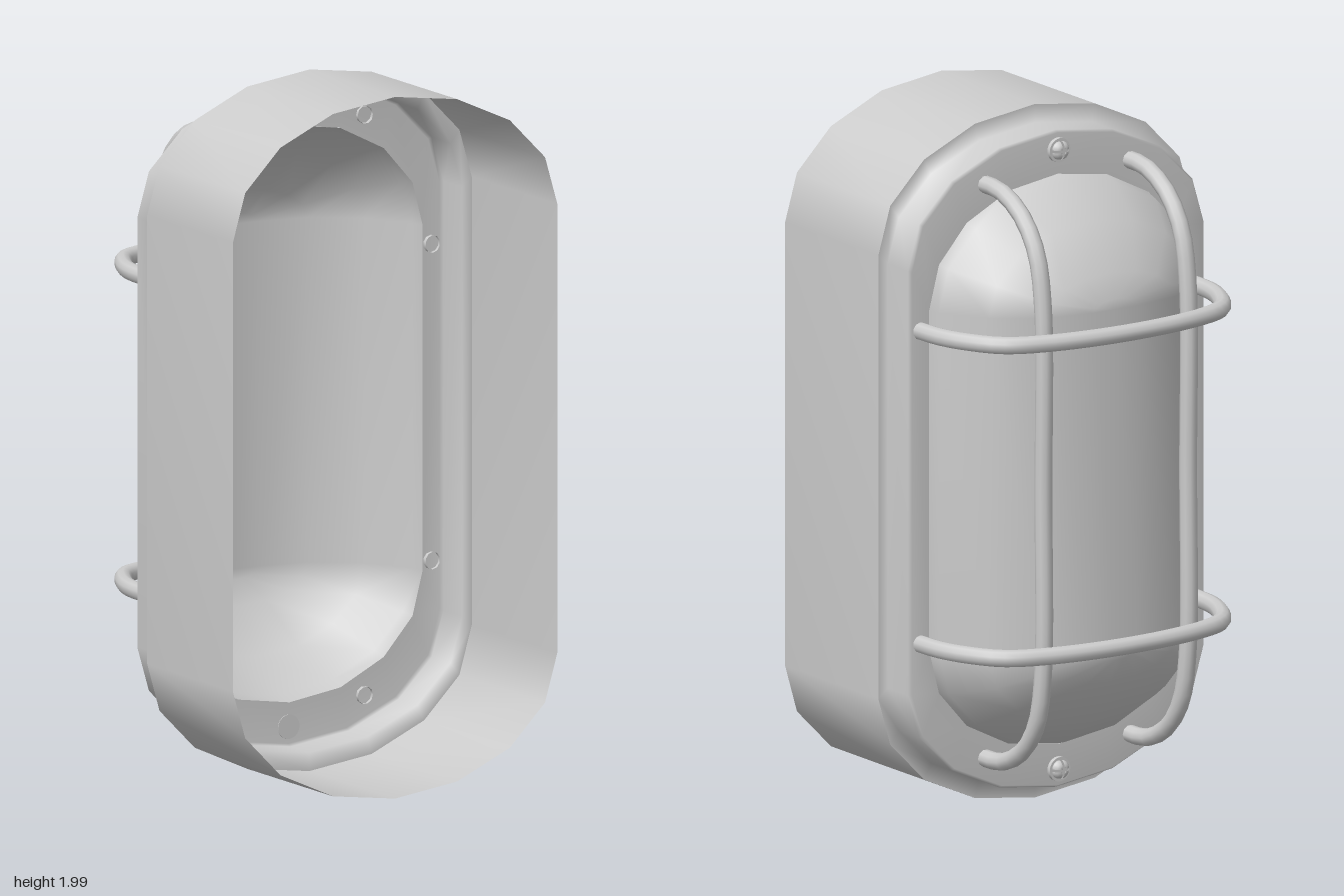
import * as THREE from 'three';

const material = new THREE.MeshStandardMaterial({ color: 0xcccccc, side: THREE.DoubleSide });
const MID = 1.003; // height of the horizontal symmetry plane
const SEG = 8;     // facets in each rounded end

function mesh(name, geometry) {
  const m = new THREE.Mesh(geometry, material);
  m.name = name;
  return m;
}

// Skin between upright oval rings, each [half width, half straight length, end height, z]
function loftOvals(rings) {
  const positions = [], index = [], n = 2 * (SEG + 1);
  for (const [w, straight, end, z] of rings) {
    for (let half = 0; half < 2; half++) {
      const s = half ? -1 : 1;
      for (let k = 0; k <= SEG; k++) {
        const a = (Math.PI * k) / SEG;
        positions.push(s * w * Math.cos(a), MID + s * (straight + end * Math.sin(a)), z);
      }
    }
  }
  for (let i = 0; i < rings.length - 1; i++) {
    for (let j = 0; j < n; j++) {
      const a = i * n + j, b = i * n + ((j + 1) % n), c = a + n, d = b + n;
      index.push(a, c, b, b, c, d);
    }
  }
  const g = new THREE.BufferGeometry();
  g.setAttribute('position', new THREE.Float32BufferAttribute(positions, 3));
  g.setIndex(index);
  g.computeVertexNormals();
  return g;
}

// Round bar through half a path, mirrored to make the other half
function cageBar(name, half, mirror) {
  const points = [...half, ...half.slice(0, -1).reverse().map(mirror)];
  const curve = new THREE.CatmullRomCurve3(points, false, 'centripetal');
  return mesh(name, new THREE.TubeGeometry(curve, 40, 0.025, 10));
}

// Domed screw with a cross slot, its axis along -z
function screw(name) {
  const g = new THREE.Group();
  g.name = name;
  const washer = mesh('screwWasher', new THREE.CylinderGeometry(0.035, 0.035, 0.014, 20));
  washer.position.y = 0.007;
  g.add(washer);
  const profile = [[0.023, 0.012], [0.022, 0.02], [0.016, 0.028], [0.008, 0.031], [0, 0.032], [0, 0.012]]
    .map(([r, y]) => new THREE.Vector2(r, y));
  for (let i = 0; i < 4; i++) {
    const start = (i * Math.PI) / 2, mid = start + Math.PI / 4;
    const quarter = mesh('screwHead', new THREE.LatheGeometry(profile, 5, start, Math.PI / 2));
    quarter.position.set(0.005 * Math.sin(mid), 0, 0.005 * Math.cos(mid));
    g.add(quarter);
  }
  g.rotation.x = -Math.PI / 2;
  return g;
}

export function createModel() {
  const model = new THREE.Group();
  model.name = 'bulkheadLamp';

  // Open oval housing
  model.add(mesh('housing', loftOvals([
    [0.53, 0.637, 0.36, 0.47],
    [0.53, 0.637, 0.36, 0.012],
  ])));

  // Stepped rim: shoulder, side wall and face around the glass
  model.add(mesh('rimShoulder', loftOvals([
    [0.53, 0.637, 0.36, 0.012],
    [0.5, 0.61, 0.335, 0.01],
    [0.5, 0.61, 0.335, -0.09],
    [0.493, 0.606, 0.332, -0.1],
    [0.435, 0.49, 0.33, -0.1],
  ])));

  // Domed glass
  model.add(mesh('glassDome', loftOvals([
    [0.435, 0.49, 0.33, -0.095],
    [0.43, 0.49, 0.315, -0.14],
    [0.35, 0.49, 0.23, -0.27],
    [0.22, 0.49, 0.1, -0.36],
    [0.075, 0.49, 0.03, -0.385],
    [0, 0.49, 0, -0.385],
  ])));

  // Wire cage: two upright bars and two cross bars
  const upright = [[0.825, -0.09], [0.82, -0.18], [0.77, -0.28], [0.68, -0.35], [0.53, -0.383], [0, -0.385]];
  const across = [[0.465, -0.09], [0.458, -0.19], [0.432, -0.27], [0.365, -0.37], [0.24, -0.42], [0, -0.445]];
  for (const s of [1, -1]) {
    model.add(cageBar(s > 0 ? 'leftUprightBar' : 'rightUprightBar',
      upright.map(([y, z]) => new THREE.Vector3(s * 0.245, MID + y, z)),
      (p) => new THREE.Vector3(p.x, 2 * MID - p.y, p.z)));
    model.add(cageBar(s > 0 ? 'upperCrossBar' : 'lowerCrossBar',
      across.map(([x, z]) => new THREE.Vector3(x, MID - 0.015 + s * 0.45, z)),
      (p) => new THREE.Vector3(-p.x, p.y, p.z)));

    // Fixing screws at both ends of the rim
    const fixing = screw(s > 0 ? 'upperScrew' : 'lowerScrew');
    fixing.position.set(0, MID + s * 0.89, -0.098);
    model.add(fixing);
  }

  return model;
}
